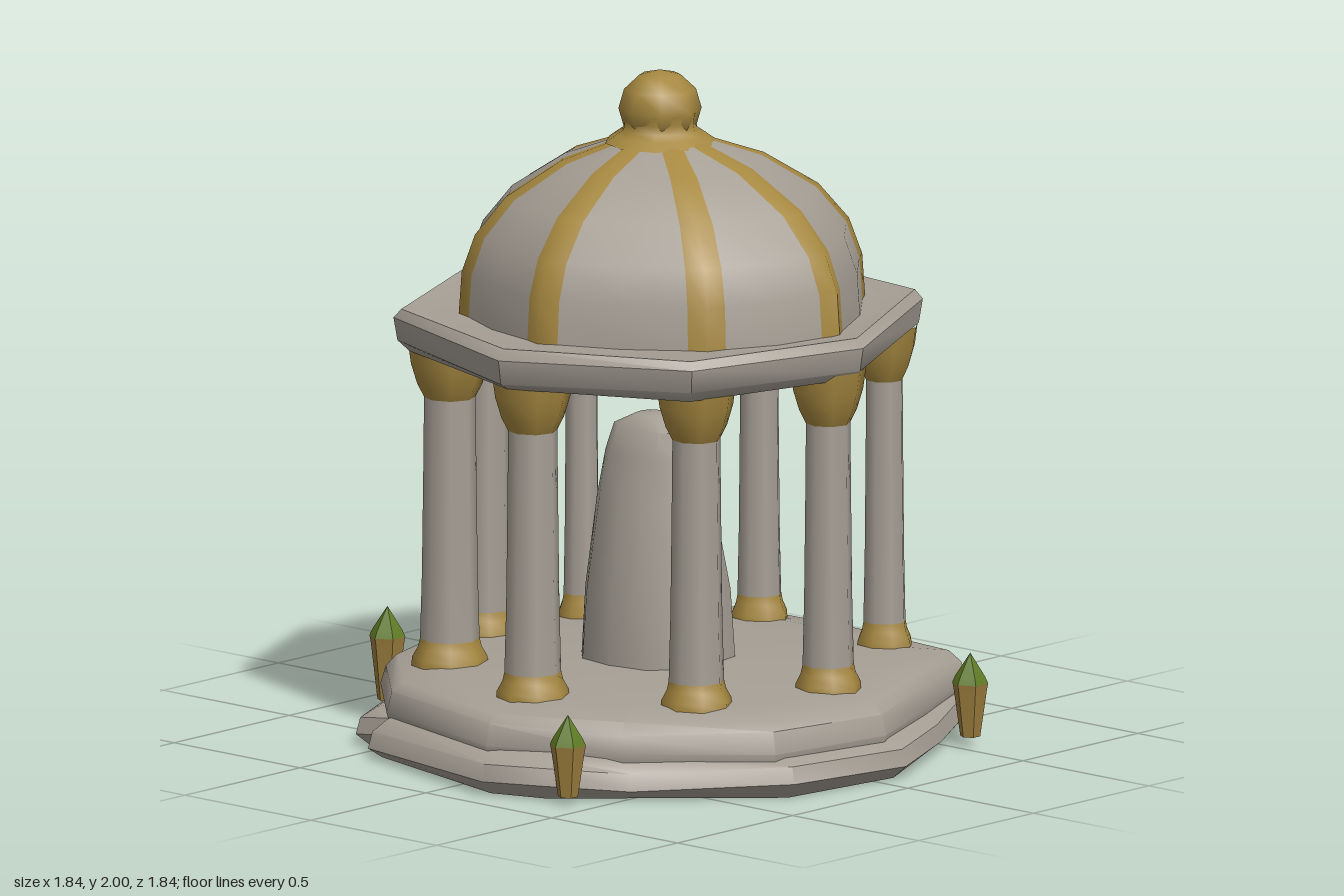
import * as THREE from 'three';
import { toCreasedNormals } from 'three/addons/utils/BufferGeometryUtils.js';

const mat = (name, color) => {
  const m = new THREE.MeshStandardMaterial({ color });
  m.name = name;
  return m;
};

// Columns: x, z, shaft radius.
const COLUMNS = [[0.62, -0.07, 0.068], [0.485, 0.355, 0.074], [0.05, 0.59, 0.075], [-0.435, 0.42, 0.078],
  [-0.63, 0.05, 0.068], [-0.57, -0.3, 0.05], [-0.175, -0.64, 0.06], [0.345, -0.615, 0.058]];
// Outlines are [x, z] pairs running from +x towards +z.
const DOME = [[0.63, -0.11], [0.49, 0.31], [0.05, 0.57], [-0.4, 0.42],
  [-0.61, 0.05], [-0.56, -0.32], [-0.2, -0.61], [0.31, -0.57]];
const CORNICE = [[0.75, -0.08], [0.6, 0.5], [0.06, 0.75], [-0.54, 0.55],
  [-0.77, 0.03], [-0.67, -0.42], [-0.16, -0.77], [0.42, -0.7]];
const TERRACE = [[0.86, -0.05], [0.8, 0.36], [0.47, 0.66], [0.1, 0.84], [-0.42, 0.7], [-0.7, 0.42],
  [-0.83, 0], [-0.76, -0.4], [-0.37, -0.8], [0.1, -0.81], [0.52, -0.77], [0.7, -0.4]];
const PLINTH = [[0.92, -0.08], [0.87, 0.35], [0.52, 0.68], [0.33, 0.86], [0.15, 0.92], [-0.44, 0.77],
  [-0.45, 0.67], [-0.58, 0.67], [-0.72, 0.38], [-0.9, -0.1], [-0.84, -0.38], [-0.52, -0.76],
  [-0.5, -0.86], [-0.37, -0.91], [-0.26, -0.92], [0.25, -0.85], [0.26, -0.91], [0.53, -0.81], [0.75, -0.42]];

// Adds an outward-facing quad; a,b lie below d,c.
function quad(out, a, b, c, d) {
  for (const [p, q, r] of [[a, d, c], [a, c, b]]) {
    if (p.distanceTo(q) > 1e-5 && q.distanceTo(r) > 1e-5 && r.distanceTo(p) > 1e-5) {
      out.push(...p.toArray(), ...q.toArray(), ...r.toArray());
    }
  }
}

function geometryFrom(positions, crease) {
  const g = new THREE.BufferGeometry();
  g.setAttribute('position', new THREE.Float32BufferAttribute(positions, 3));
  return toCreasedNormals(g, crease);
}

// Skins rows of n points, where pt(i, row) gives each point.
function skin(n, rows, pt, crease) {
  const out = [];
  for (let j = 0; j < rows.length - 1; j++) {
    for (let i = 0; i < n; i++) {
      const k = (i + 1) % n;
      quad(out, pt(i, rows[j]), pt(k, rows[j]), pt(k, rows[j + 1]), pt(i, rows[j + 1]));
    }
  }
  return geometryFrom(out, crease);
}

// Stacks scaled copies of an outline; rows are [scale, y, wobble].
const loft = (outline, rows) => skin(outline.length, rows, (i, [s, y, w = 0]) =>
  new THREE.Vector3(outline[i][0] * s, y + w * Math.sin(i * 2.3), outline[i][1] * s), 0.7);

// Boulder with rounded sections; rows are [y, minX, maxX, minZ, maxZ].
function boulder(rows) {
  const n = 12;
  const soften = (v) => Math.sign(v) * Math.abs(v) ** 0.75;
  return skin(n, rows, (i, [y, x0, x1, z0, z1]) => {
    const a = (i / n) * Math.PI * 2;
    return new THREE.Vector3((x0 + x1 + (x1 - x0) * soften(Math.cos(a))) / 2, y,
      (z0 + z1 + (z1 - z0) * soften(Math.sin(a))) / 2);
  }, 0.8);
}

// Dome with ribs of paint running down its corners.
function domeGeometry() {
  const profile = [[1, 1.28], [0.985, 1.41], [0.92, 1.52], [0.77, 1.63], [0.5, 1.735], [0.2, 1.8]];
  const n = DOME.length, ribs = [], panels = [];
  const centre = new THREE.Vector3(-0.005, 0, -0.03);
  const corner = (i, [s, y]) => {
    const [x, z] = DOME[i % n];
    return new THREE.Vector3(x, 0, z).sub(centre).multiplyScalar(s).add(centre).setY(y);
  };
  const toward = (a, b, s) => a.clone().addScaledVector(b.clone().sub(a).normalize(), 0.026 + 0.034 * s);
  const row = (i, p) => {
    const k = corner(i, p), next = corner(i + 1, p);
    const start = toward(k, next, p[0]), end = toward(next, k, p[0]);
    const mid = start.clone().lerp(end, 0.5);
    mid.x += (mid.x - centre.x) * 0.04;
    mid.z += (mid.z - centre.z) * 0.04;
    return [k, start, mid, end, next];
  };
  for (let i = 0; i < n; i++) {
    for (let j = 0; j < profile.length - 1; j++) {
      const lo = row(i, profile[j]), hi = row(i, profile[j + 1]);
      for (let k = 0; k < 4; k++) {
        quad(k === 0 || k === 3 ? ribs : panels, lo[k], lo[k + 1], hi[k + 1], hi[k]);
      }
    }
  }
  const g = geometryFrom([...panels, ...ribs], 0.9);
  g.addGroup(0, panels.length / 3, 0);
  g.addGroup(panels.length / 3, ribs.length / 3, 1);
  return g;
}

const lathe = (profile, sides) =>
  new THREE.LatheGeometry(profile.map(([r, y]) => new THREE.Vector2(r, y)), sides);

export function createModel() {
  const stone = mat('weathered stone', 0xa69f95);
  const gold = mat('old gold', 0xa68840);
  const brown = mat('bud brown', 0x9c7e3e);
  const green = mat('leaf green', 0x5e7a22);

  const root = new THREE.Group();
  root.name = 'domedPavilion';
  const add = (parent, name, geometry, material) => {
    const m = new THREE.Mesh(geometry, material);
    m.name = name;
    parent.add(m);
    return m;
  };

  // Stepped, worn base, hollow underneath
  add(root, 'plinth', loft(PLINTH, [[0, 0.15], [0.87, 0.15], [0.9, 0.02], [0.95, 0], [1, 0.04, 0.012],
    [0.985, 0.09, 0.012], [0.93, 0.115], [0.88, 0.125]]), stone);
  add(root, 'terrace', loft(TERRACE, [[1, 0.1], [1.01, 0.13], [0.99, 0.19, 0.008],
    [0.95, 0.218], [0.8, 0.235], [0, 0.25]]), stone);

  // Columns with gold feet and capitals
  COLUMNS.forEach(([x, z, r], i) => {
    const column = new THREE.Group();
    column.name = `column${i + 1}`;
    column.position.set(x, 0, z);
    column.rotation.y = -Math.atan2(z, x);
    add(column, 'columnFoot', lathe([[r * 1.45, 0.22], [r * 1.42, 0.25], [r * 1.2, 0.28], [r * 1.12, 0.305]], 8), gold);
    add(column, 'columnShaft', lathe([[r * 1.12, 0.305], [r * 1.05, 0.5], [r, 0.8], [r * 0.97, 1.03]], 8), stone);
    add(column, 'columnCapital', lathe([[r * 0.97, 1.03], [r + 0.018, 1.07], [r + 0.036, 1.13], [r + 0.045, 1.195]], 8), gold);
    root.add(column);
  });

  // Standing stone in the middle
  add(root, 'standingStone', boulder([[0.22, -0.23, 0.19, -0.25, 0.185], [0.45, -0.215, 0.185, -0.225, 0.175],
    [0.72, -0.18, 0.152, -0.165, 0.14], [0.86, -0.16, 0.148, -0.122, 0.108], [0.94, -0.135, 0.135, -0.09, 0.085],
    [0.975, -0.06, 0.05, -0.045, 0.05], [0.98, 0, 0, 0, 0]]), stone);

  // Cornice slab
  add(root, 'cornice', loft(CORNICE, [[0, 1.18], [0.94, 1.172], [0.985, 1.2, 0.008],
    [1, 1.27, 0.005], [0.97, 1.298], [0.84, 1.285], [0, 1.285]]), stone);

  // Dome, crown and finial
  add(root, 'dome', domeGeometry(), [stone, gold]);
  const crown = add(root, 'crown', lathe([[0.165, 1.786], [0.135, 1.808], [0.11, 1.825], [0.106, 1.85], [0.112, 1.88]], 10), gold);
  crown.position.set(-0.015, 0, -0.035);
  const ball = add(root, 'finial', new THREE.SphereGeometry(0.122, 8, 6), gold);
  ball.position.set(-0.018, 1.885, -0.037);
  ball.scale.y = 0.94;

  // Budding plants round the base: x, z, foot height, tip height
  [[-0.875, 0.21, 0.02, 0.3], [0.4, 0.82, 0.02, 0.265], [0.75, -0.545, 0.03, 0.28]].forEach(([x, z, y0, y1], i) => {
    const plant = new THREE.Group();
    plant.name = `plant${i + 1}`;
    plant.position.set(x, 0, z);
    const neck = y1 - 0.09;
    const stem = lathe([[0, y0], [0.03, y0], [0.05, neck - 0.02], [0.054, neck]], 6);
    const bud = lathe([[0.054, neck], [0.045, neck + 0.02], [0, y1]], 6);
    add(plant, 'plantStem', toCreasedNormals(stem, 0.5), brown);
    add(plant, 'plantBud', toCreasedNormals(bud, 0.5), green);
    root.add(plant);
  });

  return root;
}
